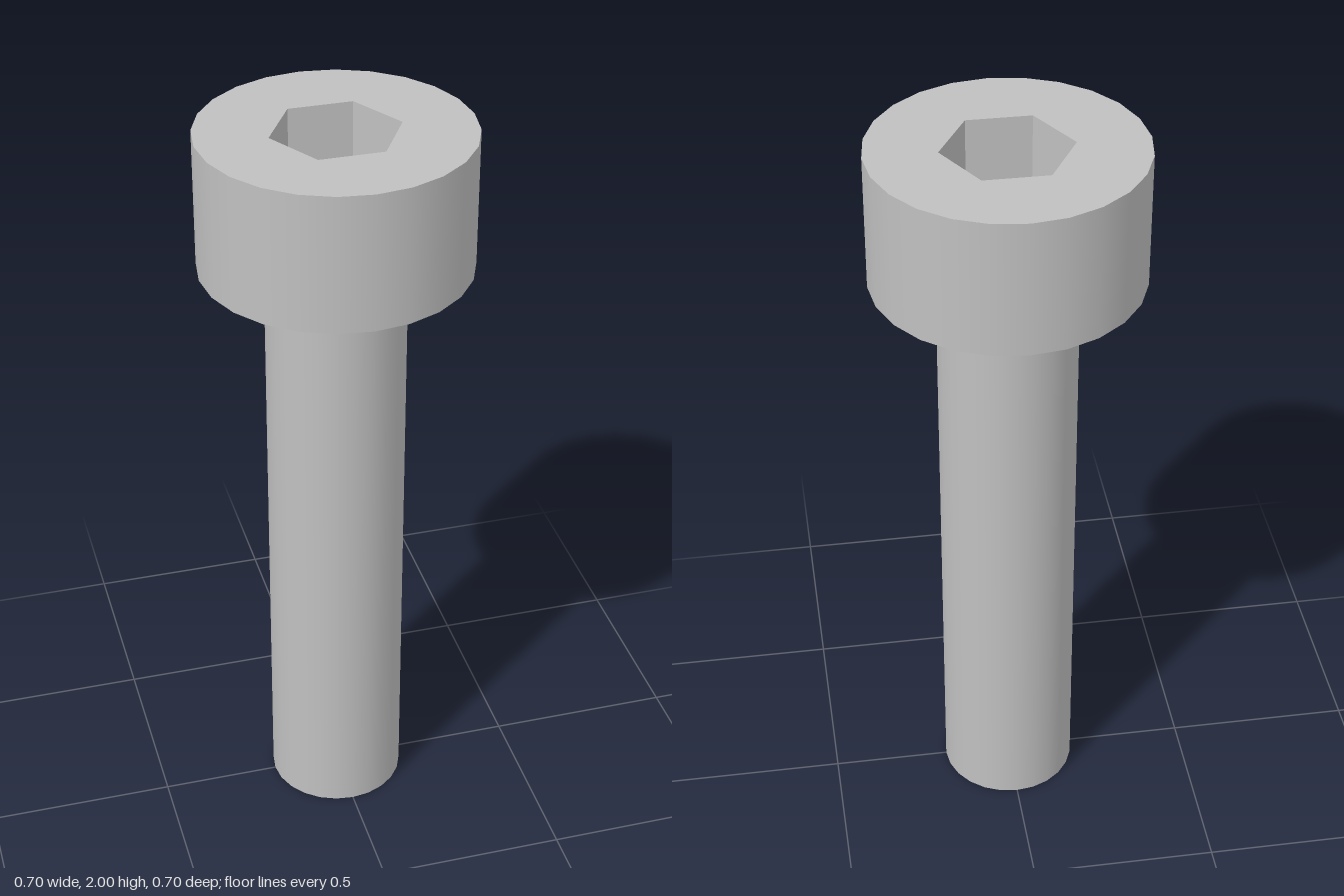
import * as THREE from 'three';

const SIDES = 24;
const HEIGHT = 2, HEAD_BOTTOM = 1.636, SOCKET_DEPTH = 0.18;
const HEAD_R = 0.352, SHANK_R = 0.182, HEX_R = 0.168;

// Points of a regular polygon with its first corner on +x
function polygon(radius, sides) {
  return Array.from({ length: sides }, (_, i) => {
    const a = (i / sides) * Math.PI * 2;
    return new THREE.Vector2(Math.cos(a) * radius, Math.sin(a) * radius);
  });
}

export function createModel() {
  const steel = new THREE.MeshStandardMaterial({ color: 0xc0c0c0 });
  steel.name = 'steel grey';

  const bolt = new THREE.Group();
  bolt.name = 'socketHeadBolt';
  const add = (parent, name, geometry, y) => {
    const mesh = new THREE.Mesh(geometry, steel);
    mesh.name = name;
    mesh.position.y = y;
    parent.add(mesh);
  };

  // Plain round shank
  add(bolt, 'shank', new THREE.CylinderGeometry(SHANK_R, SHANK_R, HEAD_BOTTOM, SIDES), HEAD_BOTTOM / 2);

  // Head: smooth wall, flat underside ring, top with a hexagonal opening
  const head = new THREE.Group();
  head.name = 'head';
  bolt.add(head);
  const headHeight = HEIGHT - HEAD_BOTTOM;
  add(head, 'headWall', new THREE.CylinderGeometry(HEAD_R, HEAD_R, headHeight, SIDES, 1, true), HEAD_BOTTOM + headHeight / 2);
  add(head, 'headUnderside', new THREE.RingGeometry(SHANK_R, HEAD_R, SIDES).rotateX(Math.PI / 2), HEAD_BOTTOM);

  const top = new THREE.Shape(polygon(HEAD_R, SIDES));
  top.holes.push(new THREE.Path(polygon(HEX_R, 6)));
  add(head, 'headTop', new THREE.ShapeGeometry(top).rotateX(-Math.PI / 2), HEIGHT);

  // Hex socket: wall mirrored so its faces look inward, then flat normals
  const wall = new THREE.CylinderGeometry(HEX_R, HEX_R, SOCKET_DEPTH, 6, 1, true, Math.PI / 2)
    .scale(-1, 1, 1).toNonIndexed();
  wall.computeVertexNormals();
  add(head, 'socketWall', wall, HEIGHT - SOCKET_DEPTH / 2);
  add(head, 'socketFloor', new THREE.CircleGeometry(HEX_R, 6).rotateX(-Math.PI / 2), HEIGHT - SOCKET_DEPTH);

  return bolt;
}
